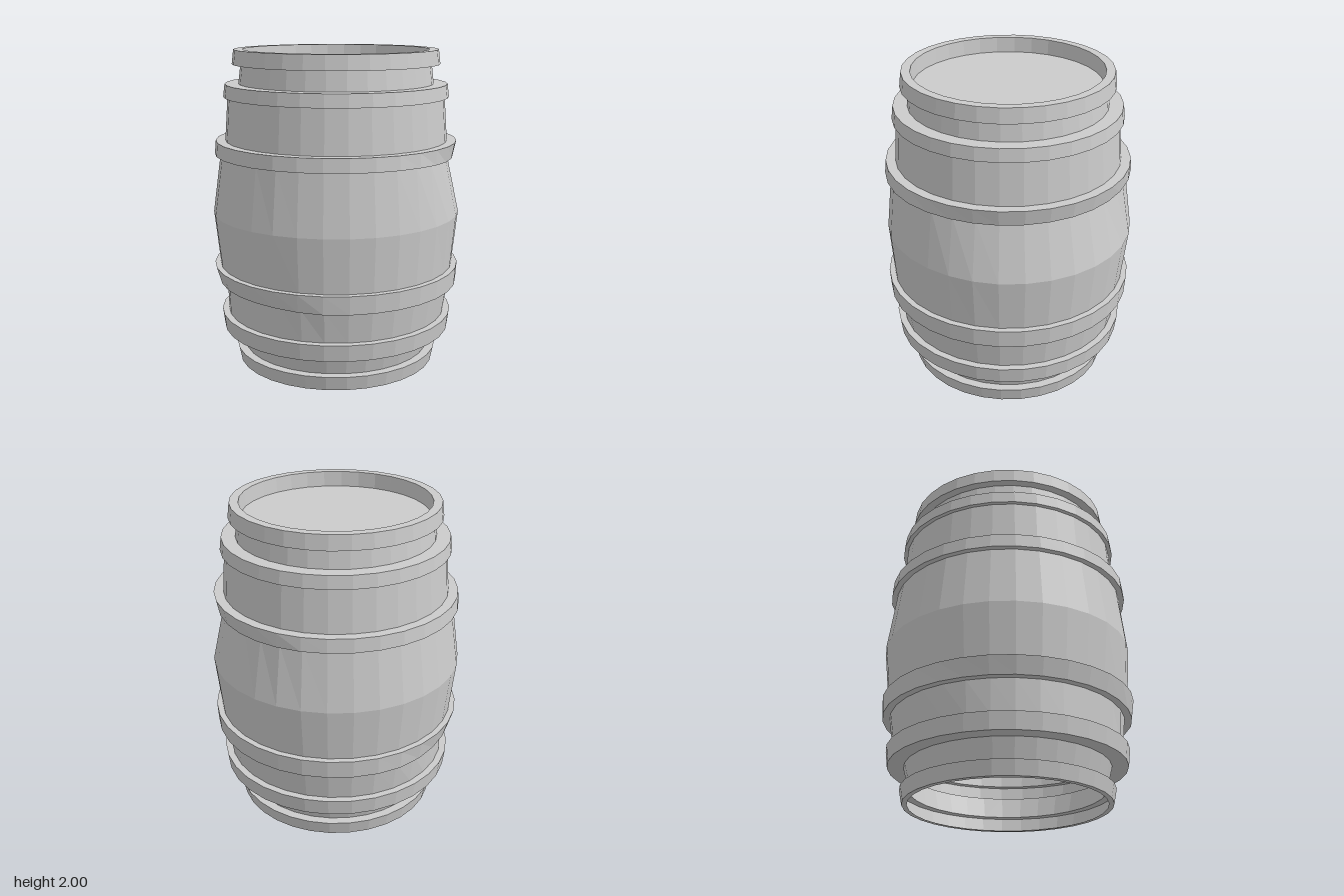
import * as THREE from 'three';

const SIDES = 32;
const material = new THREE.MeshStandardMaterial({
  color: 0xcccccc, flatShading: true, side: THREE.DoubleSide,
});

// Slight handmade unevenness: [height, direction x, direction z, radius change, height change]
const dents = [
  [1.355, 1, 0, -0.028, -0.013],
  [0.53, -1, 0, -0.024, 0.008],
  [0.98, 0, 1, -0.012, 0],
];

function warp(geometry) {
  const pos = geometry.attributes.position;
  for (let i = 0; i < pos.count; i++) {
    const x = pos.getX(i), y = pos.getY(i), z = pos.getZ(i);
    const r = Math.hypot(x, z);
    for (const [height, dx, dz, dr, dy] of dents) {
      if (r < 0.1 || Math.abs(y - height) > 0.005) continue;
      const w = THREE.MathUtils.smoothstep((x * dx + z * dz) / r, 0.3, 0.9);
      const s = (r + dr * w) / r;
      pos.setXYZ(i, x * s, y + dy * w, z * s);
    }
  }
}

// Revolves a [radius, height] profile, running upwards on the outside
function ring(name, profile) {
  const lathe = new THREE.LatheGeometry(profile.map(([r, y]) => new THREE.Vector2(r, y)), SIDES);
  const geometry = lathe.toNonIndexed();
  warp(geometry);
  geometry.computeVertexNormals();
  const mesh = new THREE.Mesh(geometry, material);
  mesh.name = name;
  return mesh;
}

export function createModel() {
  const barrel = new THREE.Group();
  barrel.name = 'barrel';

  // Stave walls showing between the hoops
  const walls = [
    [[0.6, 0.09], [0.635, 0.225]],
    [[0.705, 0.33], [0.735, 0.53]],
    [[0.75, 0.645], [0.785, 0.98], [0.732, 1.355]],
    [[0.7, 1.44], [0.68, 1.71]],
    [[0.61, 1.79], [0.595, 1.91]],
  ];
  walls.forEach((profile, i) => barrel.add(ring(`staves${i + 1}`, profile)));

  // Hollow hoops: lower ledge, sloping band, upper ledge
  const hoops = [
    [[0.605, 0], [0.637, 0], [0.655, 0.09], [0.6, 0.09]],
    [[0.635, 0.225], [0.735, 0.225], [0.748, 0.33], [0.705, 0.33]],
    [[0.735, 0.53], [0.78, 0.53], [0.787, 0.645], [0.75, 0.645]],
    [[0.732, 1.355], [0.768, 1.355], [0.76, 1.44], [0.7, 1.44]],
    [[0.68, 1.71], [0.706, 1.71], [0.696, 1.79], [0.61, 1.79]],
    [[0.595, 1.91], [0.648, 1.91], [0.637, 2]],
  ];
  hoops.forEach((profile, i) => barrel.add(ring(`hoop${i + 1}`, profile)));

  // Flat top rim, inner wall and sunken lid
  barrel.add(ring('topRim', [[0.637, 2], [0.582, 2], [0.574, 1.905]]));
  barrel.add(ring('lid', [[0.574, 1.905], [0, 1.905]]));

  return barrel;
}
